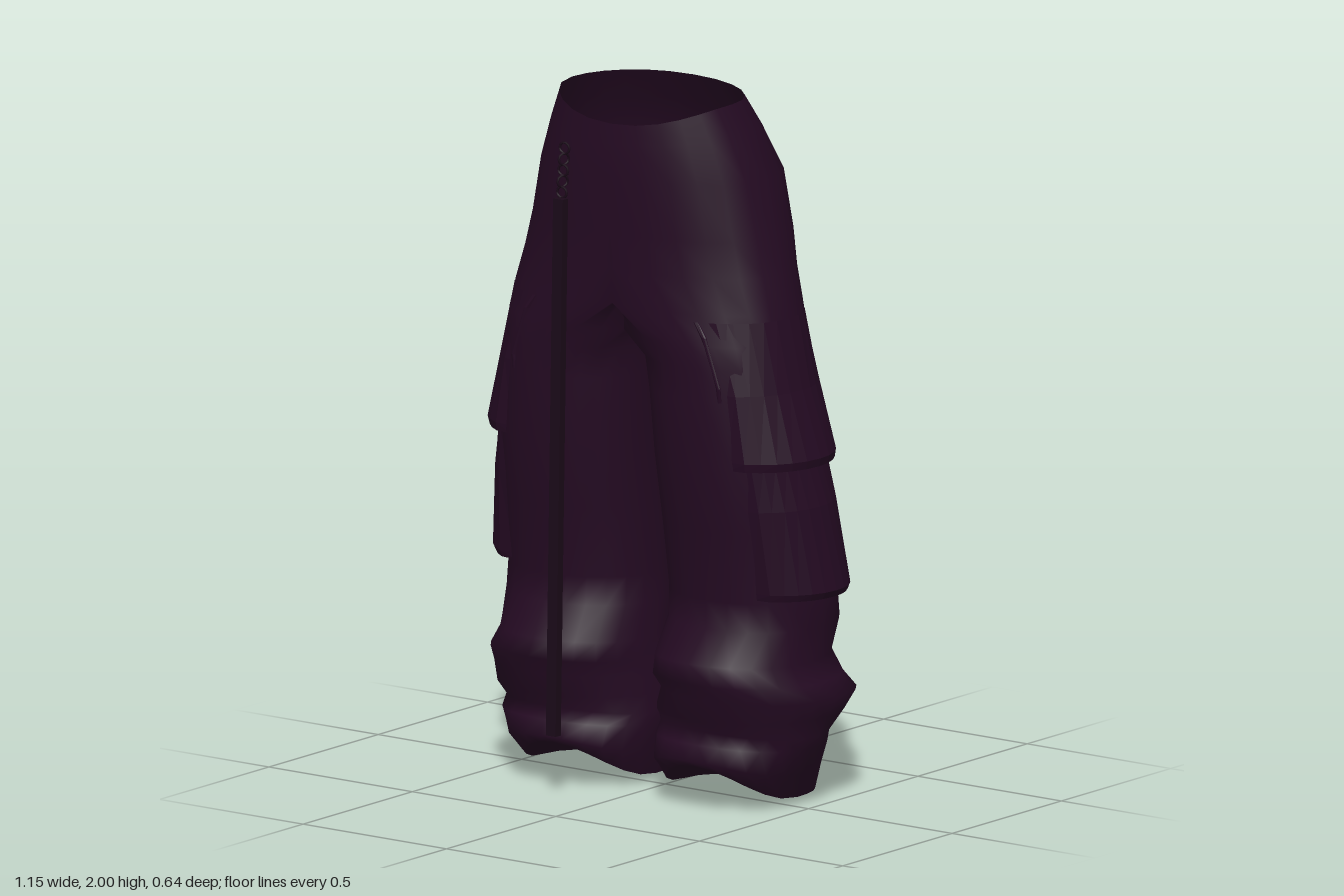
import * as THREE from 'three';

const SEG = 24;
// Half-trouser sections: y, inner x, outer x, front z, back z, front lift, back lift.
// Sections whose inner x is negative are cut at the centre plane (hips).
const ROWS = [
  [0.025, 0.05, 0.44, 0.19, -0.245, 0.10, -0.02],
  [0.10, 0.03, 0.475, 0.235, -0.253, 0.05, 0.03],
  [0.18, 0.02, 0.515, 0.205, -0.215, 0.01, -0.01],
  [0.21, 0.018, 0.52, 0.17, -0.207, 0.01, 0.0],
  [0.265, 0.02, 0.535, 0.225, -0.295, 0.0, -0.005],
  [0.32, 0.025, 0.56, 0.212, -0.317, 0.0, -0.015],
  [0.365, 0.03, 0.535, 0.258, -0.285, 0.01, -0.01],
  [0.42, 0.04, 0.50, 0.25, -0.268, 0.01, 0.0],
  [0.52, 0.045, 0.52, 0.185, -0.27, 0, 0],
  [0.60, 0.045, 0.515, 0.18, -0.265, 0, 0],
  [0.80, 0.042, 0.51, 0.21, -0.247, 0, 0],
  [1.00, 0.036, 0.50, 0.24, -0.227, 0, 0],
  [1.18, 0.024, 0.478, 0.245, -0.213, 0, 0],
  [1.27, 0.012, 0.47, 0.248, -0.206, 0, 0],
  [1.335, -0.07, 0.463, 0.25, -0.204, 0, 0],
  [1.42, -0.25, 0.45, 0.25, -0.206, 0, 0],
  [1.52, -0.39, 0.425, 0.253, -0.222, 0, 0],
  [1.62, -0.40, 0.40, 0.255, -0.242, 0, 0],
  [1.78, -0.363, 0.363, 0.26, -0.242, 0, 0],
  [1.91, -0.315, 0.315, 0.253, -0.18, -0.035, 0.0],
  [1.99, -0.28, 0.28, 0.248, -0.132, -0.06, 0.01],
];

// Section interpolated at a height
function rowAt(y) {
  const i = Math.max(1, ROWS.findIndex(r => r[0] >= y));
  const a = ROWS[i - 1], b = ROWS[i], t = (y - a[0]) / (b[0] - a[0]);
  return a.map((v, k) => v + (b[k] - v) * t);
}

const soft = (v, e) => Math.sign(v) * Math.pow(Math.abs(v), e);

// Point on a section; angle 0 is the outer side, +90 degrees the front.
// Legs are rounder at the back, hips a little squarer all round.
function point([y, xi, xo, zf, zb, lf, lb], a, out = 0) {
  const c = Math.cos(a), s = Math.sin(a);
  const hip = Math.min(1, Math.max(0, -xi / 0.3));
  const e = s > 0 ? 0.88 - 0.04 * hip : 1.06 - 0.16 * hip;
  const x = (xi + xo) / 2 + ((xo - xi) / 2) * soft(c, 0.92) + out * c;
  const z = (zf + zb) / 2 + ((zf - zb) / 2) * soft(s, e) + out * s * 0.5;
  return [Math.max(0, x), y + (s > 0 ? lf : lb) * s * s, z];
}

const ring = (row) => Array.from({ length: SEG + 1 }, (_, i) =>
  point(row, ((i % SEG) / SEG) * Math.PI * 2));

// Skin a list of sections, leaving out faces lying on the centre plane
function loft(rings, closed) {
  const n = rings[0].length, m = closed ? n - 1 : n;
  const pos = rings.flatMap(r => r.slice(0, m)).flat(), index = [];
  const id = (j, i) => j * m + (i % m);
  for (let j = 0; j < rings.length - 1; j++) {
    for (let i = 0; i < n - 1; i++) {
      const a = id(j, i), b = id(j + 1, i), c = id(j + 1, i + 1), d = id(j, i + 1);
      if ([a, b, c, d].every(k => pos[k * 3] < 1e-4)) continue;
      index.push(a, b, c, a, c, d);
    }
  }
  const g = new THREE.BufferGeometry();
  g.setAttribute('position', new THREE.Float32BufferAttribute(pos, 3));
  g.setIndex(index);
  g.computeVertexNormals();
  return g;
}

// Raised panel over the leg: rows of [height, thickness], between two angles,
// thinning towards both edges
function panel(rows, a0, a1, steps) {
  const g = loft(rows.map(([y, out]) => Array.from({ length: steps + 1 }, (_, i) => {
    const t = i / steps, a = a0 + (a1 - a0) * t;
    const swell = 0.35 + 0.65 * Math.sin(t * Math.PI);
    return point(rowAt(y), a, i % steps === 0 ? -0.01 : out * swell);
  })), false).toNonIndexed();
  g.computeVertexNormals();
  return g;
}

export function createModel() {
  const model = new THREE.Group();
  model.name = 'cargoTrousers';
  const cloth = new THREE.MeshStandardMaterial({ color: 0x240a22, side: THREE.DoubleSide });
  cloth.name = 'dark plum cloth';
  const cord = new THREE.MeshStandardMaterial({ color: 0x1a0918 });
  cord.name = 'darker plum cord';

  const add = (parent, name, geo, mat) => {
    const m = new THREE.Mesh(geo, mat);
    m.name = name;
    parent.add(m);
    return m;
  };

  // Trouser half with smooth normals across the centre seam
  const half = loft(ROWS.map(ring), true);
  const p = half.attributes.position, nrm = half.attributes.normal;
  const v = new THREE.Vector3();
  for (let i = 0; i < p.count; i++) {
    if (p.getX(i) < 1e-4 && p.getY(i) > 1.4) {
      v.set(0, nrm.getY(i), nrm.getZ(i)).normalize();
      nrm.setXYZ(i, v.x, v.y, v.z);
    }
  }

  // Lining that closes each leg at the hem, slightly hollow
  const rim = ring(ROWS[0]);
  const lining = loft([rim, rim.map(([x, y, z]) => [0.245 + (x - 0.245) * 0.5, y * 0.5 + 0.05, z * 0.5]),
    rim.map(() => [0.245, 0.09, 0])], true);

  // Stacked cargo pockets: flared, with a ledge at the bottom
  const upper = panel([[1.40, 0.002], [1.20, 0.02], [1.012, 0.054], [0.988, 0.045], [0.995, -0.01]],
    -1.05, 1.08, 12);
  const lower = panel([[0.995, 0.008], [0.87, 0.033], [0.632, 0.062], [0.612, 0.05], [0.618, -0.01]],
    -0.9, 0.95, 12);
  // Slash pocket welt on the front
  const welt = panel([[1.40, 0], [1.36, 0.008], [1.22, 0.008], [1.18, 0]], 1.06, 1.14, 4);

  for (const side of [1, -1]) {
    const g = new THREE.Group();
    g.name = side > 0 ? 'leftHalf' : 'rightHalf';
    g.scale.x = side;
    add(g, 'legAndHip', half, cloth);
    add(g, 'hemLining', lining, cloth);
    add(g, 'upperCargoPocket', upper, cloth);
    add(g, 'lowerCargoPocket', lower, cloth);
    add(g, 'slashPocketWelt', welt, cloth);
    model.add(g);
  }

  // Hanging strap on the right front
  const top = new THREE.Vector3(-0.155, 1.70, 0.275), end = new THREE.Vector3(-0.155, 0.178, 0.308);
  const strap = add(model, 'hangingStrap', new THREE.BoxGeometry(0.034, top.distanceTo(end), 0.024), cord);
  strap.position.copy(top).add(end).multiplyScalar(0.5);
  strap.quaternion.setFromUnitVectors(new THREE.Vector3(0, 1, 0), top.clone().sub(end).normalize());

  // Chain links holding the strap
  for (let i = 0; i < 5; i++) {
    const link = add(model, 'chainLink', new THREE.TorusGeometry(0.016, 0.004, 5, 10), cord);
    link.position.set(-0.16, 1.715 + i * 0.031, 0.262 - i * 0.003);
    link.rotation.y = i % 2 ? 1.1 : 0.1;
  }
  return model;
}
